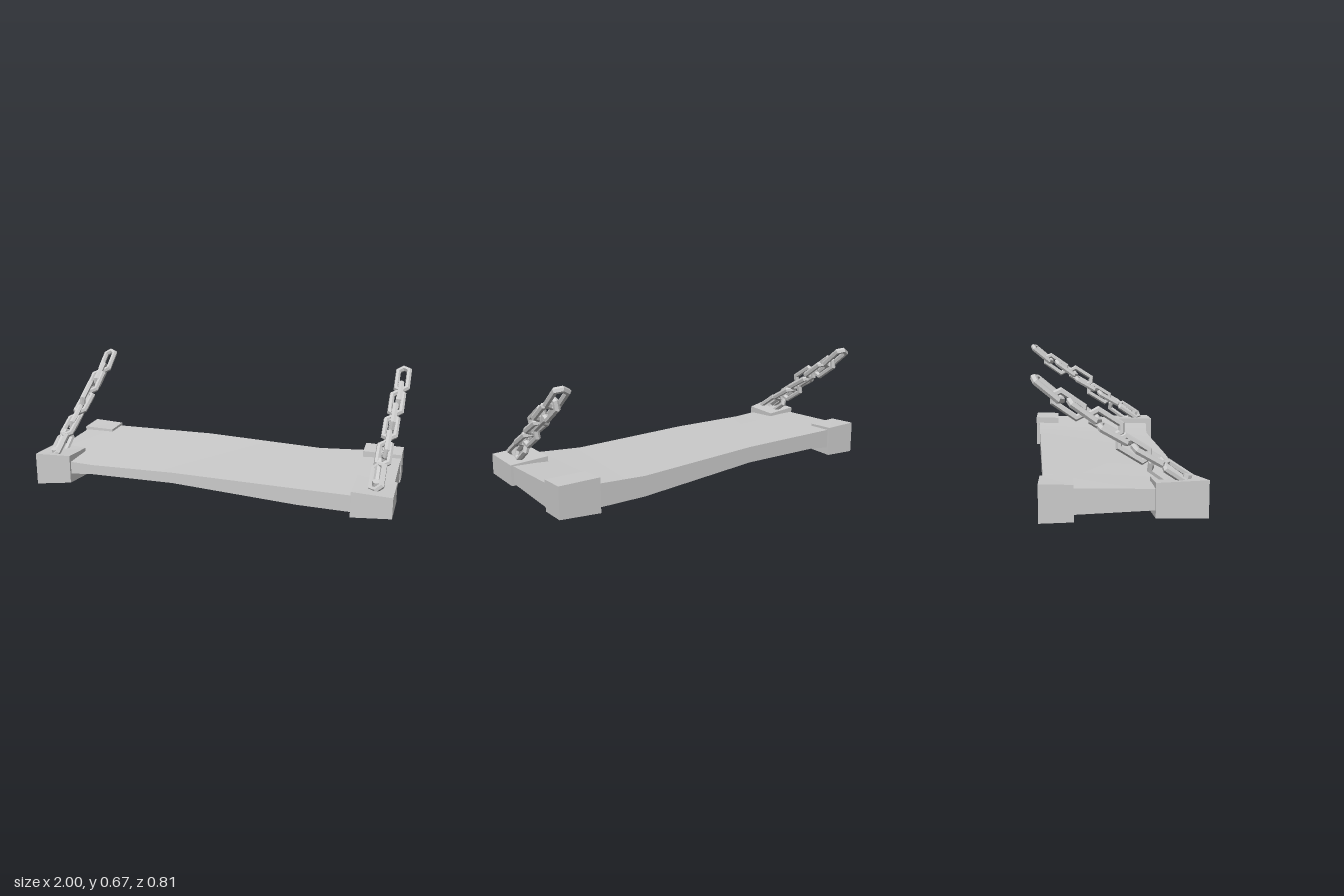
import * as THREE from 'three';

const smooth = new THREE.MeshStandardMaterial({ color: 0xcccccc });
const faceted = new THREE.MeshStandardMaterial({ color: 0xcccccc, flatShading: true });

// Box stretched through cross-sections along x.
// Section: [x, zBack, zFront, backBottom, backTop, frontBottom, frontTop]
function loft(name, sections, material) {
  const n = sections.length - 1;
  const geo = new THREE.BoxGeometry(1, 1, 1, n, 1, 1);
  const p = geo.attributes.position;
  for (let i = 0; i < p.count; i++) {
    const s = sections[Math.round((p.getX(i) + 0.5) * n)];
    const front = p.getZ(i) > 0, top = p.getY(i) > 0;
    p.setXYZ(i, s[0], s[3 + (front ? 2 : 0) + (top ? 1 : 0)], s[front ? 2 : 1]);
  }
  geo.computeVertexNormals();
  const mesh = new THREE.Mesh(geo, material);
  mesh.name = name;
  return mesh;
}

// Long hexagonal chain link, lengthened along x
function linkGeometry() {
  const geo = new THREE.TorusGeometry(0.036, 0.017, 6, 6);
  const p = geo.attributes.position;
  for (let i = 0; i < p.count; i++) {
    p.setX(i, p.getX(i) + Math.sign(p.getX(i)) * 0.045);
  }
  geo.computeVertexNormals();
  return geo;
}

// Links from the seat upwards: [z, y, climb in degrees, roll in degrees]
const LINKS = [
  [0.265, 0.21, 34, 62],
  [0.205, 0.21, 36, -20],
  [0.13, 0.295, 30, 80],
  [0.06, 0.325, 32, 12],
  [-0.03, 0.395, 30, 80],
  [-0.065, 0.445, 33, 10],
  [-0.165, 0.5, 36, 80],
  [-0.235, 0.53, 35, 8],
  [-0.328, 0.6, 40, 78],
];

function chain(name, xBase, xTop) {
  const group = new THREE.Group();
  group.name = name;
  const geo = linkGeometry();
  LINKS.forEach(([z, y, climb, roll], i) => {
    const a = THREE.MathUtils.degToRad(climb);
    const along = new THREE.Vector3(0, Math.sin(a), -Math.cos(a));
    const side = new THREE.Vector3(1, 0, 0);
    const across = new THREE.Vector3().crossVectors(side, along);
    const link = new THREE.Mesh(geo, faceted);
    link.name = 'chainLink';
    link.quaternion.setFromRotationMatrix(new THREE.Matrix4().makeBasis(along, across, side));
    link.rotateX(THREE.MathUtils.degToRad(roll));
    link.position.set(THREE.MathUtils.lerp(xBase, xTop, i / (LINKS.length - 1)), y, z);
    group.add(link);
  });
  // Staple sunk into the corner bracket
  const staple = new THREE.Mesh(new THREE.CylinderGeometry(0.022, 0.024, 0.08, 6), faceted);
  staple.name = 'chainStaple';
  staple.position.set(xBase, 0.165, 0.3);
  staple.rotation.set(0.25, 0.5, 0);
  group.add(staple);
  return group;
}

export function createModel() {
  const model = new THREE.Group();
  model.name = 'swingSeat';

  // Worn plank, thickness and front edge vary along its length
  model.add(loft('seatPlank', [
    [-0.99, -0.355, 0.335, 0.04, 0.17, 0.06, 0.15],
    [-0.68, -0.355, 0.33, 0.075, 0.17, 0.08, 0.135],
    [-0.2, -0.355, 0.33, 0.08, 0.17, 0.08, 0.14],
    [0.5, -0.355, 0.33, 0.03, 0.14, 0.035, 0.125],
    [0.8, -0.355, 0.37, 0.03, 0.155, 0.045, 0.135],
    [0.985, -0.355, 0.375, 0.03, 0.168, 0.06, 0.14],
  ], smooth));

  // Four uneven corner brackets
  model.add(loft('frontRightBracket', [
    [-1, 0.15, 0.395, 0.02, 0.185, 0.012, 0.192],
    [-0.815, 0.15, 0.345, 0.005, 0.17, 0.02, 0.18],
  ], faceted));
  model.add(loft('backRightBracket', [
    [-1, -0.38, -0.22, 0.01, 0.192, 0.012, 0.185],
    [-0.815, -0.37, -0.22, 0.015, 0.185, 0.02, 0.18],
  ], faceted));
  model.add(loft('frontLeftBracket', [
    [0.79, 0.15, 0.405, 0.025, 0.17, 0.03, 0.168],
    [1, 0.16, 0.405, 0.042, 0.155, 0.046, 0.158],
  ], faceted));
  model.add(loft('backLeftBracket', [
    [0.77, -0.375, -0.23, 0.008, 0.192, 0.002, 0.185],
    [0.99, -0.365, -0.22, 0.02, 0.188, 0.018, 0.183],
  ], faceted));

  model.add(chain('rightChain', -0.925, -0.88));
  model.add(chain('leftChain', 0.905, 0.96));
  return model;
}
